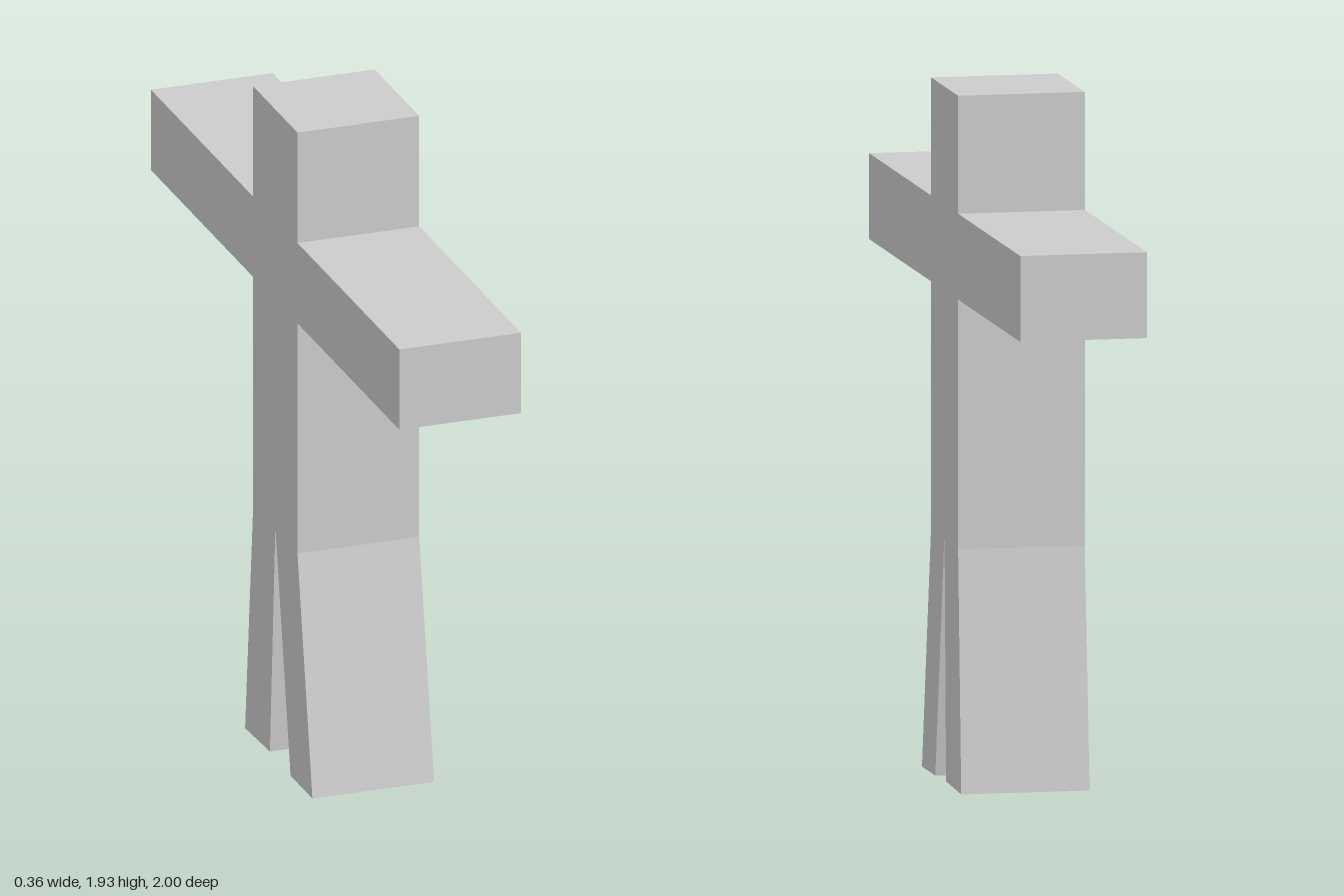
import * as THREE from 'three';

const MIN_X = -0.181, MAX_X = 0.174;

export function createModel() {
  const model = new THREE.Group();
  model.name = 'blockFigure';

  // Side outline as [z, y]: head, arms, trunk and two splayed legs in one solid
  const outline = [
    [0.30, 0], [0.18, 0.68], [0.18, 1.362], [1, 1.362], [1, 1.6], [0.18, 1.6],
    [0.18, 1.927], [-0.178, 1.927], [-0.178, 1.6], [-1, 1.6], [-1, 1.362], [-0.178, 1.362],
    [-0.178, 0.67], [-0.242, 0], [-0.042, 0.008], [0.002, 0.69], [0.124, 0],
  ];
  const shape = new THREE.Shape(outline.map(([z, y]) => new THREE.Vector2(z, y)));
  const geometry = new THREE.ExtrudeGeometry(shape, { depth: MAX_X - MIN_X, bevelEnabled: false });
  geometry.rotateY(-Math.PI / 2).translate(MAX_X, 0, 0);

  // The back foot flares out slightly on the left side
  const p = geometry.attributes.position;
  for (let i = 0; i < p.count; i++) {
    if (p.getY(i) < 0.05 && p.getZ(i) < 0 && p.getX(i) > 0) p.setX(i, 0.179);
  }
  geometry.computeVertexNormals();

  const body = new THREE.Mesh(
    geometry,
    new THREE.MeshStandardMaterial({ color: 0xcccccc, flatShading: true })
  );
  body.name = 'body';
  model.add(body);
  return model;
}
